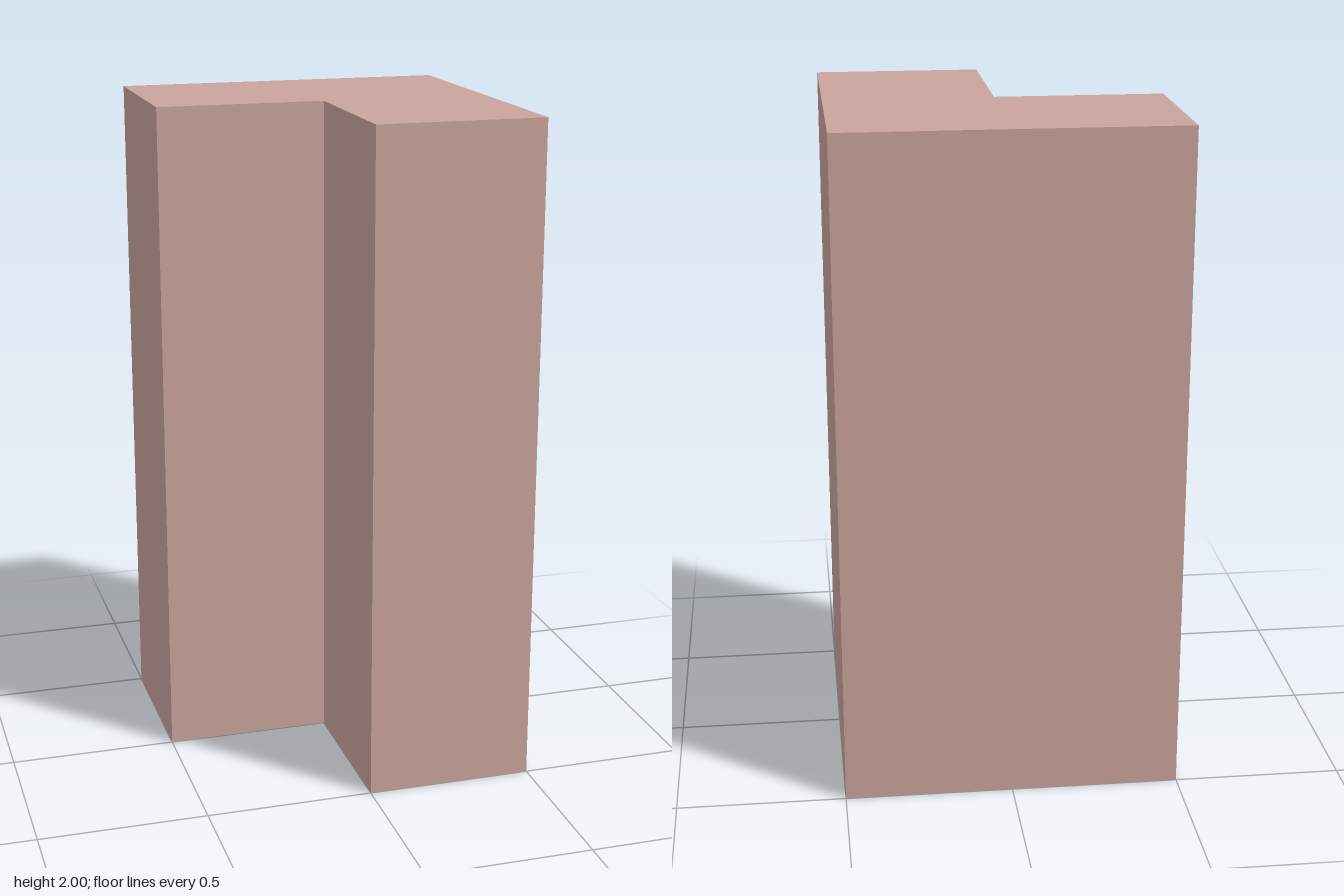
import * as THREE from 'three';

export function createModel() {
  const model = new THREE.Group();
  model.name = 'lShapedTower';

  // L-shaped floor plan (x, -z), notched at the front right corner
  const plan = new THREE.Shape([
    [-0.5, 0.5], [-0.5, 0], [0, 0], [0, -0.5], [0.5, -0.5], [0.5, 0.5],
  ].map(([x, y]) => new THREE.Vector2(x, y)));

  // Raise the plan into a solid block standing on the ground
  const geometry = new THREE.ExtrudeGeometry(plan, { depth: 2, bevelEnabled: false });
  geometry.rotateX(-Math.PI / 2);

  const block = new THREE.Mesh(
    geometry,
    new THREE.MeshStandardMaterial({ color: 0xc9a49c, flatShading: true }),
  );
  block.name = 'lShapedBlock';
  model.add(block);

  return model;
}
